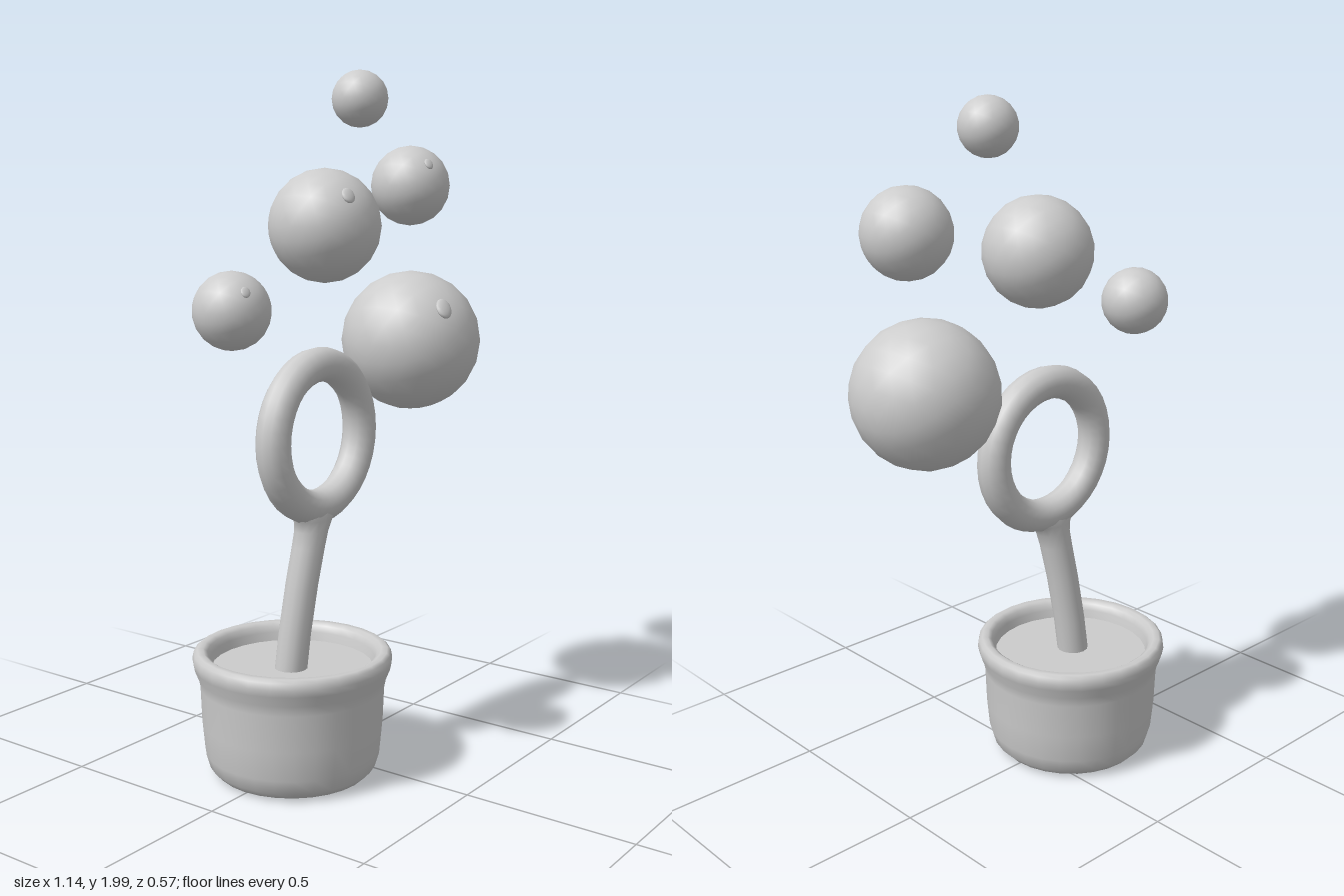
import * as THREE from 'three';

export function createModel() {
  const group = new THREE.Group();
  const clay = new THREE.MeshStandardMaterial({ color: 0xcccccc });
  clay.name = 'clayGrey';

  const add = (name, geometry, parent = group) => {
    const mesh = new THREE.Mesh(geometry, clay);
    mesh.name = name;
    parent.add(mesh);
    return mesh;
  };
  const v2 = (pairs) => pairs.map(([x, y]) => new THREE.Vector2(x, y));

  // Pot: rounded foot, flared rim, shallow inner wall
  const pot = add('pot', new THREE.LatheGeometry(v2([
    [0, 0.008], [0.19, 0.008], [0.22, 0.014], [0.24, 0.035], [0.252, 0.075],
    [0.26, 0.16], [0.264, 0.265], [0.27, 0.295], [0.282, 0.325], [0.286, 0.345],
    [0.282, 0.364], [0.272, 0.372], [0.255, 0.372], [0.243, 0.364], [0.236, 0.345],
    [0.228, 0.305],
  ]), 28));
  pot.position.x = -0.143;

  // Soap surface inside the pot
  const soap = add('soapSurface', new THREE.CircleGeometry(0.232, 28));
  soap.rotation.x = -Math.PI / 2;
  soap.position.set(-0.143, 0.32, 0);

  // Wand ring
  const ring = add('wandRing', new THREE.TorusGeometry(0.202, 0.049, 12, 36));
  ring.position.set(-0.07, 0.98, 0.037);

  // Wand stick: elliptical sections [x, y, z, radiusX, radiusZ] flaring into the ring
  const sections = [
    [-0.163, 0.30, 0.008, 0.047, 0.047], [-0.150, 0.42, 0.014, 0.047, 0.047],
    [-0.130, 0.56, 0.024, 0.048, 0.047], [-0.110, 0.67, 0.033, 0.050, 0.047],
    [-0.100, 0.715, 0.036, 0.054, 0.047], [-0.092, 0.745, 0.037, 0.068, 0.047],
    [-0.083, 0.772, 0.037, 0.098, 0.045], [-0.075, 0.79, 0.037, 0.125, 0.038],
  ];
  const sides = 14;
  const stick = new THREE.CylinderGeometry(1, 1, 1, sides, sections.length - 1, true);
  const p = stick.attributes.position;
  for (let i = 0; i < p.count; i++) {
    const row = sections.length - 1 - Math.floor(i / (sides + 1));
    const [x, y, z, rx, rz] = sections[row];
    p.setXYZ(i, x + p.getX(i) * rx, y, z + p.getZ(i) * rz);
  }
  stick.computeVertexNormals();
  add('wandStick', stick);

  // Bubbles: [x, y, z, radius, has glint]
  [
    [0.34, 1.22, 0.078, 0.208, true],
    [-0.04, 1.565, 0.038, 0.158, true],
    [0.447, 1.678, 0.002, 0.12, true],
    [-0.467, 1.358, 0.061, 0.102, true],
    [0.16, 1.92, 0.015, 0.081, false],
  ].forEach(([x, y, z, r, hasGlint], i) => {
    const bubble = new THREE.Group();
    bubble.name = `bubble${i + 1}`;
    bubble.position.set(x, y, z);
    group.add(bubble);
    add('bubbleBall', new THREE.IcosahedronGeometry(r, 3), bubble);
    if (!hasGlint) return;
    // Small flattened glint sitting on the upper left front
    const glint = add('bubbleGlint', new THREE.SphereGeometry(r, 14, 8), bubble);
    glint.scale.set(0.2, 0.135, 0.05);
    glint.position.set(-0.48 * r, 0.52 * r, 0.85 * r);
    glint.rotation.set(-0.67, 0, 0.6);
  });

  return group;
}
